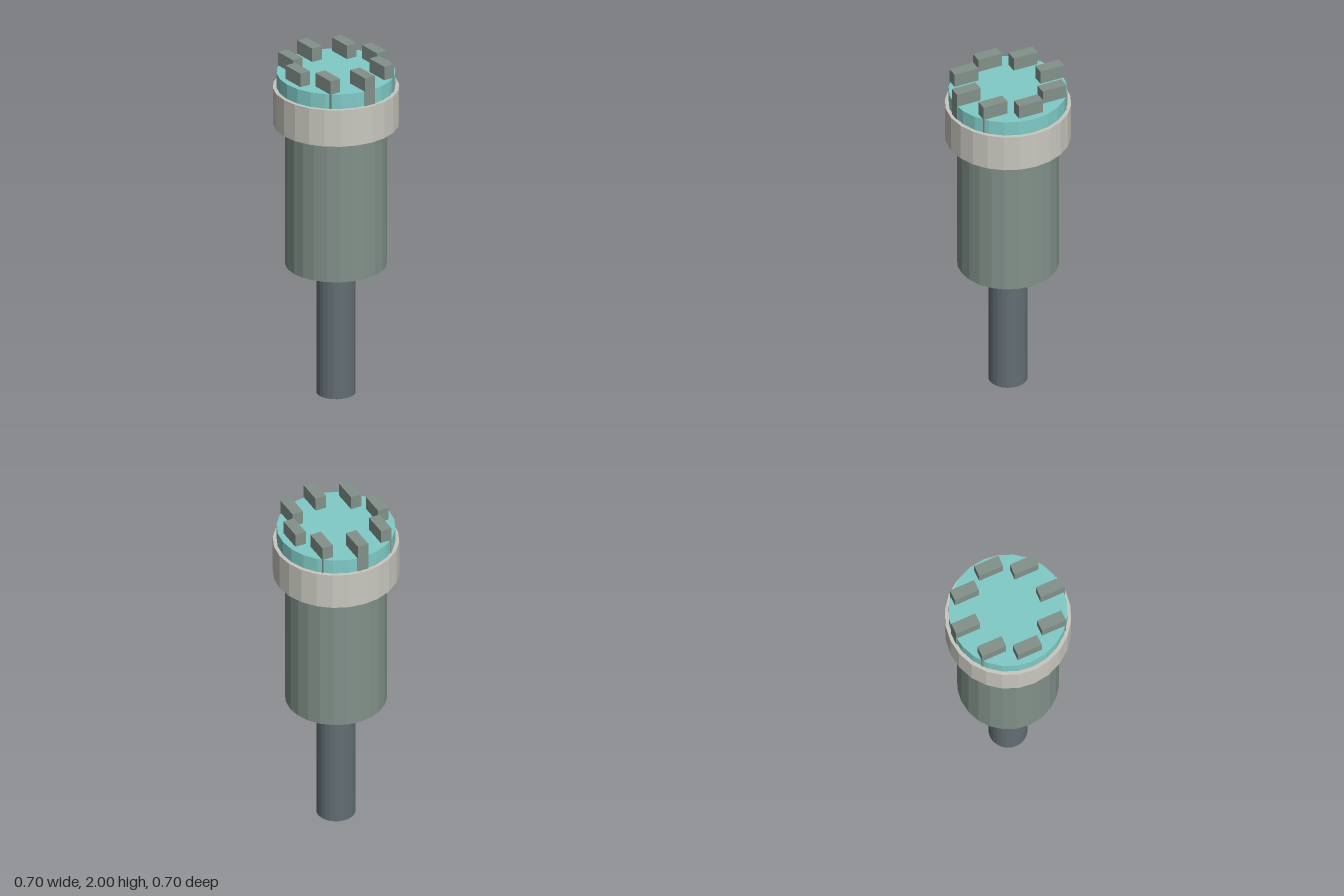
import * as THREE from 'three';

function mat(name, color) {
  const m = new THREE.MeshStandardMaterial({ color, flatShading: true });
  m.name = name;
  return m;
}

export function createModel() {
  const group = new THREE.Group();
  const greyGreen = mat('greyGreen', 0x82918a);
  const slate = mat('slate', 0x636e74);
  const stone = mat('stone', 0xc9c8bf);
  const teal = mat('teal', 0x80cbc7);

  // Upright 24-sided cylinder between two heights
  function drum(name, radius, y0, y1, material) {
    const mesh = new THREE.Mesh(new THREE.CylinderGeometry(radius, radius, y1 - y0, 24), material);
    mesh.name = name;
    mesh.position.y = (y0 + y1) / 2;
    group.add(mesh);
  }

  drum('shaft', 0.109, 0, 0.774, slate);
  drum('body', 0.283, 0.774, 1.615, greyGreen);
  drum('collar', 0.35, 1.615, 1.833, stone);
  drum('topDisc', 0.329, 1.833, 1.92, teal);

  // Ring of eight teeth, all pointing front to back
  const toothGeometry = new THREE.BoxGeometry(0.065, 0.167, 0.146);
  for (let i = 0; i < 8; i++) {
    const a = (i * Math.PI) / 4;
    const tooth = new THREE.Mesh(toothGeometry, greyGreen);
    tooth.name = 'tooth' + (i + 1);
    tooth.position.set(Math.sin(a) * 0.256, 1.9165, Math.cos(a) * 0.257);
    group.add(tooth);
  }
  return group;
}
